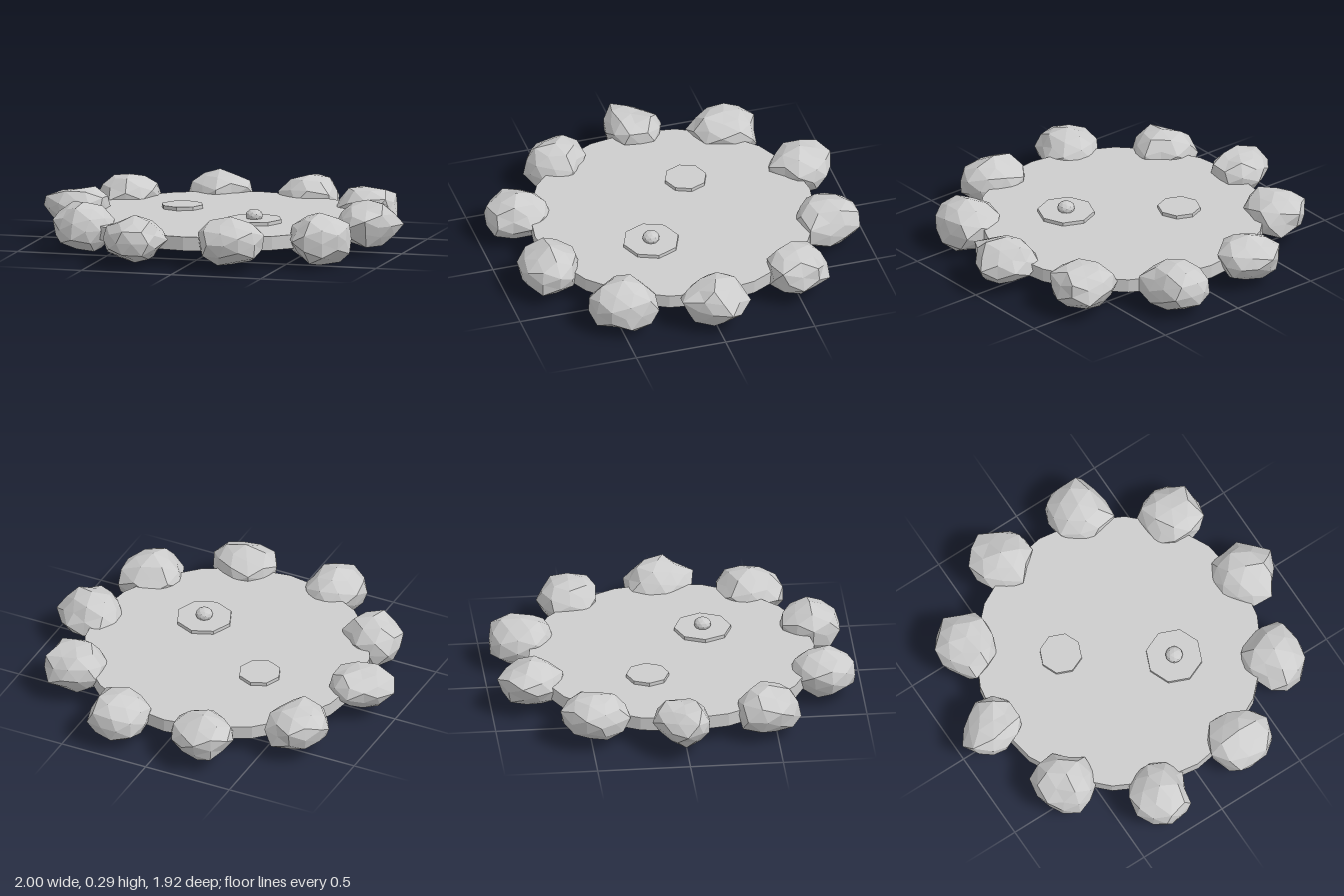
import * as THREE from 'three';

// Per rock: centre x, z; bottom, top; plan radii every 45 degrees from +x towards +z.
const ROCKS = [
  [-0.245, -0.79, 0.03, 0.28, [0.18, 0.15, 0.18, 0.17, 0.166, 0.176, 0.18, 0.176]],
  [0.255, -0.785, 0.02, 0.27, [0.165, 0.18, 0.17, 0.17, 0.166, 0.17, 0.176, 0.17]],
  [0.665, -0.50, 0.03, 0.27, [0.17, 0.185, 0.155, 0.17, 0.17, 0.176, 0.17, 0.176]],
  [0.817, -0.005, 0.035, 0.285, [0.183, 0.15, 0.20, 0.17, 0.18, 0.176, 0.176, 0.16]],
  [0.67, 0.47, 0.0, 0.285, [0.176, 0.176, 0.19, 0.17, 0.17, 0.17, 0.17, 0.187]],
  [0.26, 0.765, 0.03, 0.29, [0.19, 0.19, 0.16, 0.176, 0.176, 0.187, 0.165, 0.16]],
  [-0.255, 0.775, 0.02, 0.28, [0.165, 0.176, 0.18, 0.17, 0.176, 0.176, 0.16, 0.20]],
  [-0.65, 0.46, 0.02, 0.28, [0.17, 0.19, 0.17, 0.187, 0.165, 0.195, 0.17, 0.165]],
  [-0.81, -0.02, 0.05, 0.27, [0.16, 0.145, 0.145, 0.19, 0.19, 0.145, 0.165, 0.18]],
  [-0.665, -0.49, 0.03, 0.28, [0.16, 0.165, 0.195, 0.187, 0.166, 0.176, 0.18, 0.20]],
];

// Repeatable value in 0..1 for a vertex, so shared corners stay joined
function noise(x, y, z, seed) {
  const q = (v) => Math.round(v * 100);
  const s = Math.sin(q(x) * 12.9898 + q(y) * 78.233 + q(z) * 37.719 + seed * 4.137) * 43758.5453;
  return s - Math.floor(s);
}

// Gives every triangle its own normal
function faceted(geometry) {
  const g = geometry.index ? geometry.toNonIndexed() : geometry;
  g.computeVertexNormals();
  return g;
}

// Stretches one axis of a geometry to the range lo..hi
function fitAxis(geometry, axis, lo, hi) {
  geometry.computeBoundingBox();
  const { min, max } = geometry.boundingBox;
  const p = geometry.attributes.position;
  const a = 'xyz'.indexOf(axis);
  for (let i = 0; i < p.count; i++) {
    const t = (p.getComponent(i, a) - min[axis]) / (max[axis] - min[axis]);
    p.setComponent(i, a, lo + t * (hi - lo));
  }
}

// Dented boulder whose plan follows eight radii
function rockGeometry([cx, cz, bottom, top, radii], seed) {
  const g = new THREE.IcosahedronGeometry(1, 1);
  g.rotateY(seed * 0.7);
  const p = g.attributes.position;
  for (let i = 0; i < p.count; i++) {
    const x = p.getX(i), y = p.getY(i), z = p.getZ(i);
    const t = ((Math.atan2(z, x) / (Math.PI * 2) + 1) % 1) * 8;
    const k = Math.floor(t) % 8;
    const radius = THREE.MathUtils.lerp(radii[k], radii[(k + 1) % 8], t - Math.floor(t));
    const dent = 0.88 + 0.24 * noise(x, y, z, seed);
    p.setXYZ(i, x * radius * dent, y * dent, z * radius * dent);
  }
  fitAxis(g, 'x', cx - radii[4], cx + radii[0]);
  fitAxis(g, 'y', bottom, top);
  fitAxis(g, 'z', cz - radii[6], cz + radii[2]);
  return faceted(g);
}

export function createModel() {
  const group = new THREE.Group();
  const grey = new THREE.MeshStandardMaterial({ color: 0xcccccc });
  grey.name = 'stone grey';

  function add(name, geometry, x = 0, y = 0, z = 0) {
    const mesh = new THREE.Mesh(geometry, grey);
    mesh.name = name;
    mesh.position.set(x, y, z);
    group.add(mesh);
  }

  // Pond disc
  add('pondWater', faceted(new THREE.CylinderGeometry(0.77, 0.77, 0.075, 20)), 0, 0.13, -0.005);

  // Floating leaves
  add('smallLilyPad', faceted(new THREE.CylinderGeometry(0.115, 0.115, 0.02, 8)), -0.27, 0.177, -0.16);
  add('largeLilyPad', faceted(new THREE.CylinderGeometry(0.153, 0.153, 0.02, 8)), 0.23, 0.177, 0.185);

  // Bud on the large leaf
  const bud = new THREE.IcosahedronGeometry(0.047, 1);
  bud.scale(1, 0.75, 1);
  add('lilyBud', faceted(bud), 0.23, 0.203, 0.185);

  // Ring of boulders
  ROCKS.forEach((rock, i) => add(`rock${i + 1}`, rockGeometry(rock, i + 1)));

  return group;
}
